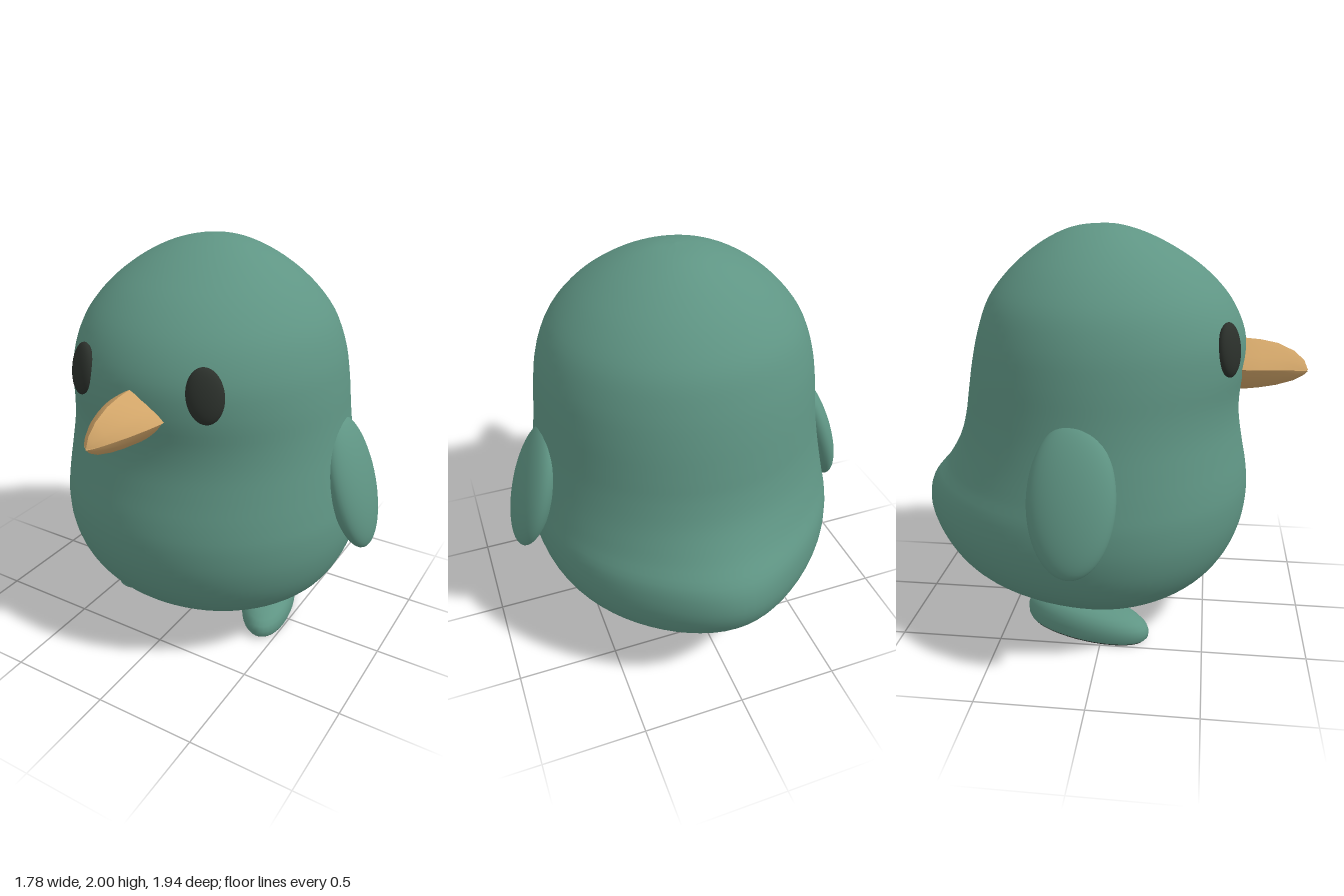
import * as THREE from 'three';
import { toCreasedNormals } from 'three/addons/utils/BufferGeometryUtils.js';

const mat = (name, color) => Object.assign(new THREE.MeshStandardMaterial({ color }), { name });

// Skin a list of closed rings; each ring runs counterclockwise seen from the far end.
function loft(rings) {
  const n = rings[0].length, index = [];
  for (let j = 0; j < rings.length - 1; j++) {
    for (let i = 0; i < n; i++) {
      const a = j * n + i, b = j * n + (i + 1) % n;
      index.push(a, b, b + n, a, b + n, a + n);
    }
  }
  const geo = new THREE.BufferGeometry();
  geo.setAttribute('position', new THREE.Float32BufferAttribute(rings.flat(2), 3));
  geo.setIndex(index);
  geo.computeVertexNormals();
  return geo;
}

const ring = (n, fn) => Array.from({ length: n }, (_, i) => fn((i / n) * Math.PI * 2));

// Body: height, half width, front z, back z
function bodyGeometry() {
  const rows = [
    [0.095, 0, -0.03, -0.03], [0.105, 0.16, 0.12, -0.2], [0.135, 0.32, 0.27, -0.38],
    [0.2, 0.5, 0.42, -0.59], [0.3, 0.64, 0.55, -0.78], [0.42, 0.72, 0.635, -0.9],
    [0.56, 0.76, 0.685, -0.965], [0.7, 0.767, 0.7, -0.945], [0.82, 0.753, 0.69, -0.85],
    [0.95, 0.733, 0.665, -0.775], [1.08, 0.712, 0.645, -0.735], [1.2, 0.697, 0.645, -0.715],
    [1.35, 0.682, 0.665, -0.69], [1.5, 0.655, 0.655, -0.655], [1.65, 0.595, 0.585, -0.6],
    [1.78, 0.49, 0.465, -0.5], [1.88, 0.365, 0.32, -0.385], [1.95, 0.235, 0.18, -0.27],
    [1.988, 0.115, 0.06, -0.16], [2, 0, -0.03, -0.03],
  ];
  const spline = (pick) => new THREE.CatmullRomCurve3(
    rows.map((r) => new THREE.Vector3(...pick(r))), false, 'catmullrom');
  const heights = spline((r) => [0, r[0], 0]);
  const extents = spline((r) => r.slice(1));
  const rings = [], steps = 76, midZ = -0.03;
  for (let j = 0; j <= steps; j++) {
    const y = heights.getPoint(j / steps).y, e = extents.getPoint(j / steps);
    const tail = 0.3 * Math.exp(-(((y - 0.6) / 0.28) ** 2));
    rings.push(ring(72, (a) => {
      const c = Math.cos(a);
      const pinch = c < 0 ? 1 - tail * c ** 4 : 1; // narrows toward the tail tip
      return [e.x * Math.sin(a) * pinch, y, midZ + c * (c > 0 ? e.y - midZ : midZ - e.z)];
    }));
  }
  return loft(rings);
}

// Beak half: lies between the curved mouth line and a ridge above or below it
function beakGeometry(upper) {
  const stations = [
    [0.58, 0.165, 0.15, 0.1], [0.66, 0.16, 0.155, 0.1], [0.74, 0.137, 0.148, 0.09],
    [0.82, 0.105, 0.132, 0.075], [0.9, 0.062, 0.095, 0.05], [0.95, 0.028, 0.05, 0.022],
    [0.972, 0, 0, 0],
  ];
  const n = 12;
  const rings = stations.map(([z, w, up, down]) => {
    const half = upper ? w : w * 0.95;
    const mouth = (s) => 1.303 + 0.03 * s * s * (w / 0.16) - (upper ? 0 : 0.004);
    const ridge = (s) => mouth(s) + (upper ? up : -down) * (1 - Math.abs(s) ** 1.2) ** 0.8;
    const [top, bottom] = upper ? [ridge, mouth] : [mouth, ridge];
    const pts = [];
    for (let i = 0; i < n; i++) { const s = 1 - (2 * i) / n; pts.push([half * s, top(s), z]); }
    for (let i = 0; i < n; i++) { const s = -1 + (2 * i) / n; pts.push([half * s, bottom(s), z]); }
    return pts;
  });
  return toCreasedNormals(loft(rings), 0.6);
}

// Foot: rounded slab, taller at the heel; rows are height fraction and outline scale
function footGeometry() {
  const rows = [[0, 0.95], [0.12, 0.99], [0.35, 1], [0.55, 0.97], [0.72, 0.89],
    [0.86, 0.76], [0.95, 0.56], [0.99, 0.3], [1, 0]];
  return loft(rows.map(([t, k]) => ring(40, (a) => {
    const z = 0.335 * k * Math.cos(a);
    return [0.14 * k * Math.sin(a), 0.006 + t * (0.152 - 0.09 * z), z];
  })));
}

export function createModel() {
  const model = new THREE.Group();
  model.name = 'bird';
  const green = mat('green plumage', 0x5f9584);
  const tan = mat('tan beak', 0xd0a468);
  const dark = mat('dark', 0x2b302b);

  const add = (name, geo, material, parent = model) => {
    const mesh = new THREE.Mesh(geo, material);
    mesh.name = name;
    parent.add(mesh);
    return mesh;
  };

  add('body', bodyGeometry(), green);
  add('upperBeak', beakGeometry(true), tan);
  add('lowerBeak', beakGeometry(false), tan);

  const ball = new THREE.SphereGeometry(1, 40, 28);
  const foot = footGeometry();
  const sole = new THREE.CylinderGeometry(0.95, 0.93, 0.008, 40);

  for (const side of [1, -1]) {
    const label = side > 0 ? 'left' : 'right';

    // Eye
    const eye = add(label + 'Eye', ball, dark);
    eye.scale.set(0.083, 0.125, 0.04);
    eye.position.set(side * 0.325, 1.465, 0.575);
    eye.rotation.set(-0.14, side * 0.5, side * 0.1, 'YXZ');

    // Wing
    const wing = add(label + 'Wing', ball, green);
    wing.scale.set(0.09, 0.345, 0.198);
    wing.position.set(side * 0.755, 0.875, -0.088);
    wing.rotation.z = side * 0.3;

    // Foot with a dark sole, toes turned out
    const leg = new THREE.Group();
    leg.name = label + 'Foot';
    leg.position.set(side * 0.335, 0, -0.085);
    leg.rotation.y = side * 0.32;
    model.add(leg);
    add('foot', foot, green, leg);
    const pad = add('sole', sole, dark, leg);
    pad.scale.set(0.14, 1, 0.335);
    pad.position.y = 0.004;
  }
  return model;
}
